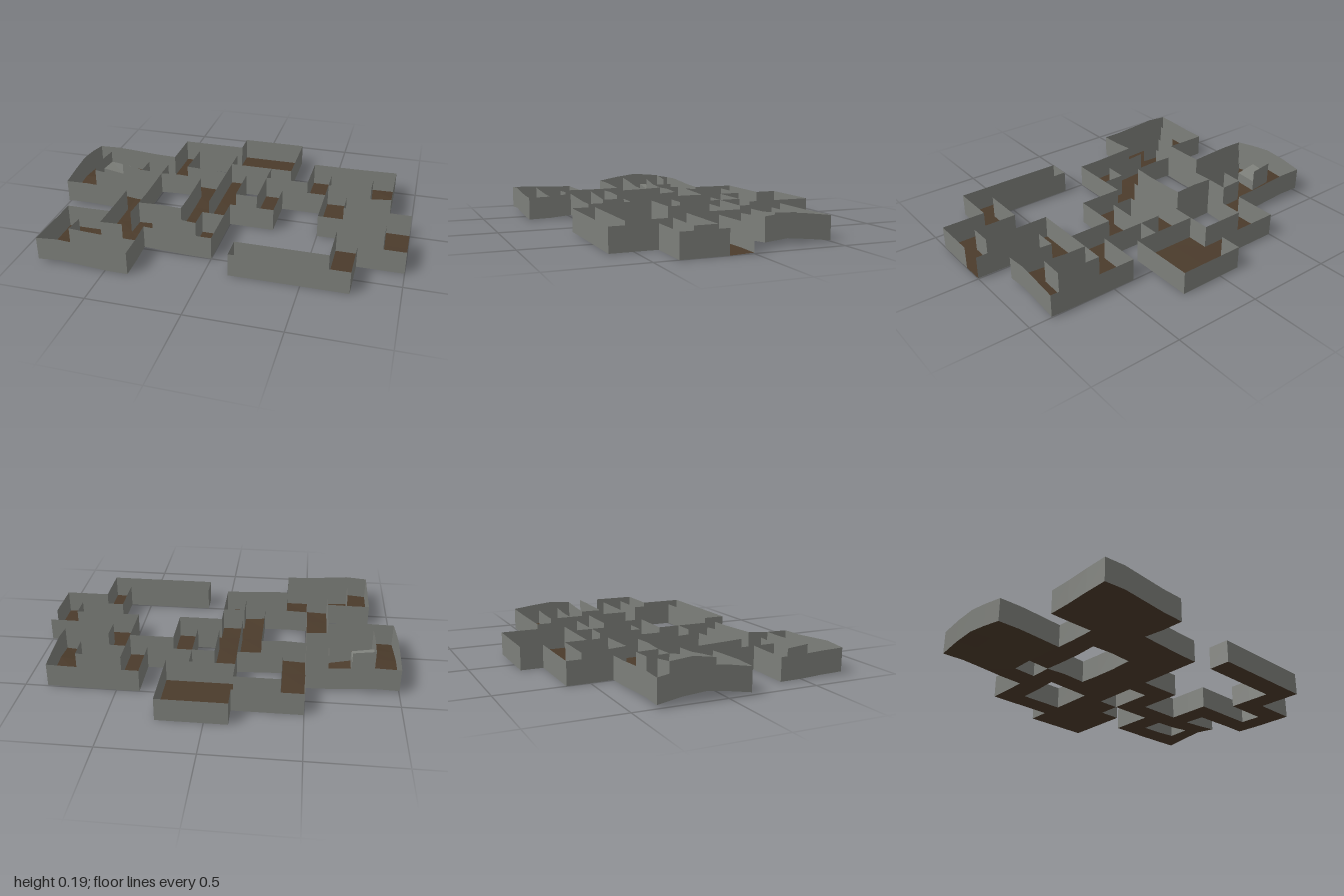
import * as THREE from 'three';

const S = 0.125, WALL = 0.128, BASE = 0.004;

// Floor plan: one character per square cell, # is floor, G is the stone plinth
const PLAN = [
  '.......###......',
  '....######......',
  '....#..###.####.',
  '#####..##..#..#.',
  '#G#.####.######.',
  '####..##.#..#...',
  '####..####..####',
  '...#..##.......#',
  '...#####.....###',
  '.#######.....#..',
  '.####....#####..',
  '.####...........',
];

// Gentle mounds in the ground: x, z, height, radius
const MOUNDS = [
  [-0.9, -0.14, 0.062, 0.23],
  [0.92, -0.25, 0.035, 0.18],
  [-0.75, 0.72, 0.022, 0.16],
  [-0.38, 0.38, 0.022, 0.17],
  [-0.36, -0.15, 0.015, 0.15],
];

// Inner walls between cells: column and row of the start corner, direction, length
const INNER = [
  [1, 4, 'z', 2], [1, 4, 'x', 1], [1, 6, 'x', 3], [2, 5, 'x', 1],
  [7, 4, 'z', 3], [7, 8, 'z', 1], [7, 8, 'x', 1], [7, 3, 'x', 2],
  [5, 9, 'x', 2], [4, 8, 'z', 1], [3, 10, 'x', 1], [3, 9, 'z', 1],
  [2, 11, 'x', 3], [2, 10, 'z', 1], [12, 4, 'z', 1],
];

const ground = (x, z) => MOUNDS.reduce(
  (y, [mx, mz, h, r]) => y + h * Math.exp(-((x - mx) ** 2 + (z - mz) ** 2) / (r * r)), BASE);

// Point above a grid corner
function corner(c, r, up = 0) {
  const x = -1 + c * S, z = -0.75 + r * S;
  return [x, ground(x, z) + up, z];
}

const isFloor = (c, r) => (PLAN[r]?.[c] ?? '.') !== '.';

function quadMesh(name, quads, material) {
  const points = [];
  for (const [a, b, c, d] of quads) points.push(...a, ...b, ...c, ...a, ...c, ...d);
  const geometry = new THREE.BufferGeometry();
  geometry.setAttribute('position', new THREE.Float32BufferAttribute(points, 3));
  geometry.computeVertexNormals();
  const mesh = new THREE.Mesh(geometry, material);
  mesh.name = name;
  return mesh;
}

// Upright panel between two grid corners
const panel = (c0, r0, c1, r1, h = WALL) =>
  [corner(c0, r0), corner(c1, r1), corner(c1, r1, h), corner(c0, r0, h)];

// Horizontal patch covering one cell
const patch = (c, r, up = 0) =>
  [corner(c, r, up), corner(c, r + 1, up), corner(c + 1, r + 1, up), corner(c + 1, r, up)];

export function createModel() {
  const group = new THREE.Group();
  group.name = 'maze';
  const make = (name, color) => {
    const m = new THREE.MeshStandardMaterial({ color, side: THREE.DoubleSide, flatShading: true });
    m.name = name;
    return m;
  };
  const stone = make('grey stone', 0x7d7f7a);
  const earth = make('brown earth', 0x4b3b2b);

  const floors = [], outer = [], inner = [], plinth = [];
  for (let r = 0; r < PLAN.length; r++) {
    for (let c = 0; c < 16; c++) {
      if (!isFloor(c, r)) continue;
      floors.push(patch(c, r));
      // Outer walls wherever the neighbouring cell is empty
      if (!isFloor(c - 1, r)) outer.push(panel(c, r, c, r + 1));
      // The east side of cell 15, 6 stays open as the doorway
      if (!isFloor(c + 1, r) && !(c === 15 && r === 6)) outer.push(panel(c + 1, r + 1, c + 1, r));
      if (!isFloor(c, r - 1)) outer.push(panel(c + 1, r, c, r));
      if (!isFloor(c, r + 1)) outer.push(panel(c, r + 1, c + 1, r + 1));
      // Low plinth filling one cell
      if (PLAN[r][c] === 'G') {
        const h = 0.06;
        plinth.push(patch(c, r, h), panel(c + 1, r + 1, c + 1, r, h), panel(c, r + 1, c + 1, r + 1, h));
      }
    }
  }
  // Inner walls, one panel per cell so they follow the ground
  for (const [c, r, dir, n] of INNER) {
    for (let i = 0; i < n; i++) {
      inner.push(dir === 'x' ? panel(c + i, r, c + i + 1, r) : panel(c, r + i, c, r + i + 1));
    }
  }

  group.add(
    quadMesh('floor', floors, earth),
    quadMesh('outerWalls', outer, stone),
    quadMesh('innerWalls', inner, stone),
    quadMesh('plinth', plinth, stone),
  );
  return group;
}
